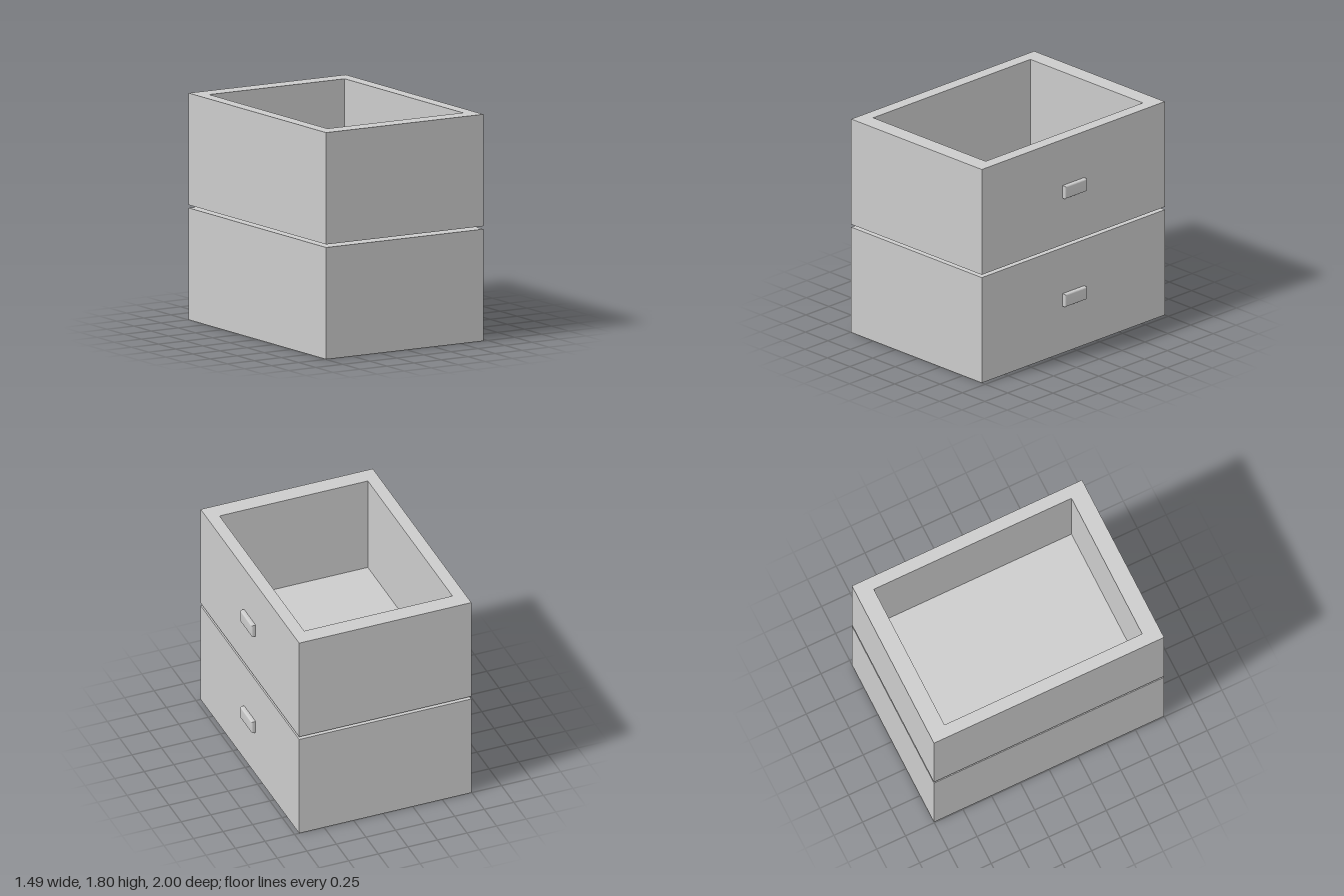
import * as THREE from 'three';
import { toCreasedNormals } from 'three/addons/utils/BufferGeometryUtils.js';

const X0 = -0.745, X1 = 0.711, Z = 1;
const WALL = 0.101, WALL_Z = 0.141, FLOOR = 0.07;
const HEIGHT = 0.888, STEP = 0.912;

// Four corners of a rectangle at height y, counter-clockwise from above
const ring = (x0, x1, z, y) => [[x0, y, z], [x1, y, z], [x1, y, -z], [x0, y, -z]];

// Open-topped box: outer wall, rim, inner wall, then floor and underside
function openBox() {
  const xi0 = X0 + WALL, xi1 = X1 - WALL, zi = Z - WALL_Z;
  const rings = [
    ring(X0, X1, Z, 0),
    ring(X0, X1, Z, HEIGHT),
    ring(xi0, xi1, zi, HEIGHT),
    ring(xi0, xi1, zi, FLOOR),
  ];
  const pos = [];
  const quad = (a, b, c, d) => pos.push(...a, ...b, ...c, ...a, ...c, ...d);
  for (let r = 0; r < 3; r++) {
    for (let i = 0; i < 4; i++) {
      const j = (i + 1) % 4;
      quad(rings[r][i], rings[r][j], rings[r + 1][j], rings[r + 1][i]);
    }
  }
  quad(...rings[3]);
  quad(...rings[0].slice().reverse());
  const geo = new THREE.BufferGeometry();
  geo.setAttribute('position', new THREE.Float32BufferAttribute(pos, 3));
  geo.computeVertexNormals();
  return geo;
}

// Flat pull with a rounded outer edge, its back sunk into the wall
function pull() {
  const bevel = 0.012, w = 0.118 - bevel, h = 0.053 - bevel;
  const shape = new THREE.Shape([
    new THREE.Vector2(-w, -h), new THREE.Vector2(w, -h),
    new THREE.Vector2(w, h), new THREE.Vector2(-w, h),
  ]);
  const geo = new THREE.ExtrudeGeometry(shape, {
    depth: 0.036, bevelThickness: bevel, bevelSize: bevel, bevelSegments: 4,
  });
  geo.rotateY(Math.PI / 2);
  return toCreasedNormals(geo, 0.6);
}

export function createModel() {
  const model = new THREE.Group();
  model.name = 'drawerStack';
  const material = new THREE.MeshStandardMaterial({ color: 0xcccccc });
  const boxGeo = openBox(), pullGeo = pull();

  // Two identical drawers with a narrow gap between them
  ['lowerDrawer', 'upperDrawer'].forEach((name, i) => {
    const drawer = new THREE.Group();
    drawer.name = name;
    const box = new THREE.Mesh(boxGeo, material);
    box.name = 'drawerBox';
    const handle = new THREE.Mesh(pullGeo, material);
    handle.name = 'handle';
    handle.position.set(X1 - 0.014, HEIGHT / 2 + 0.003, 0);
    drawer.add(box, handle);
    drawer.position.y = i * STEP;
    model.add(drawer);
  });
  return model;
}
